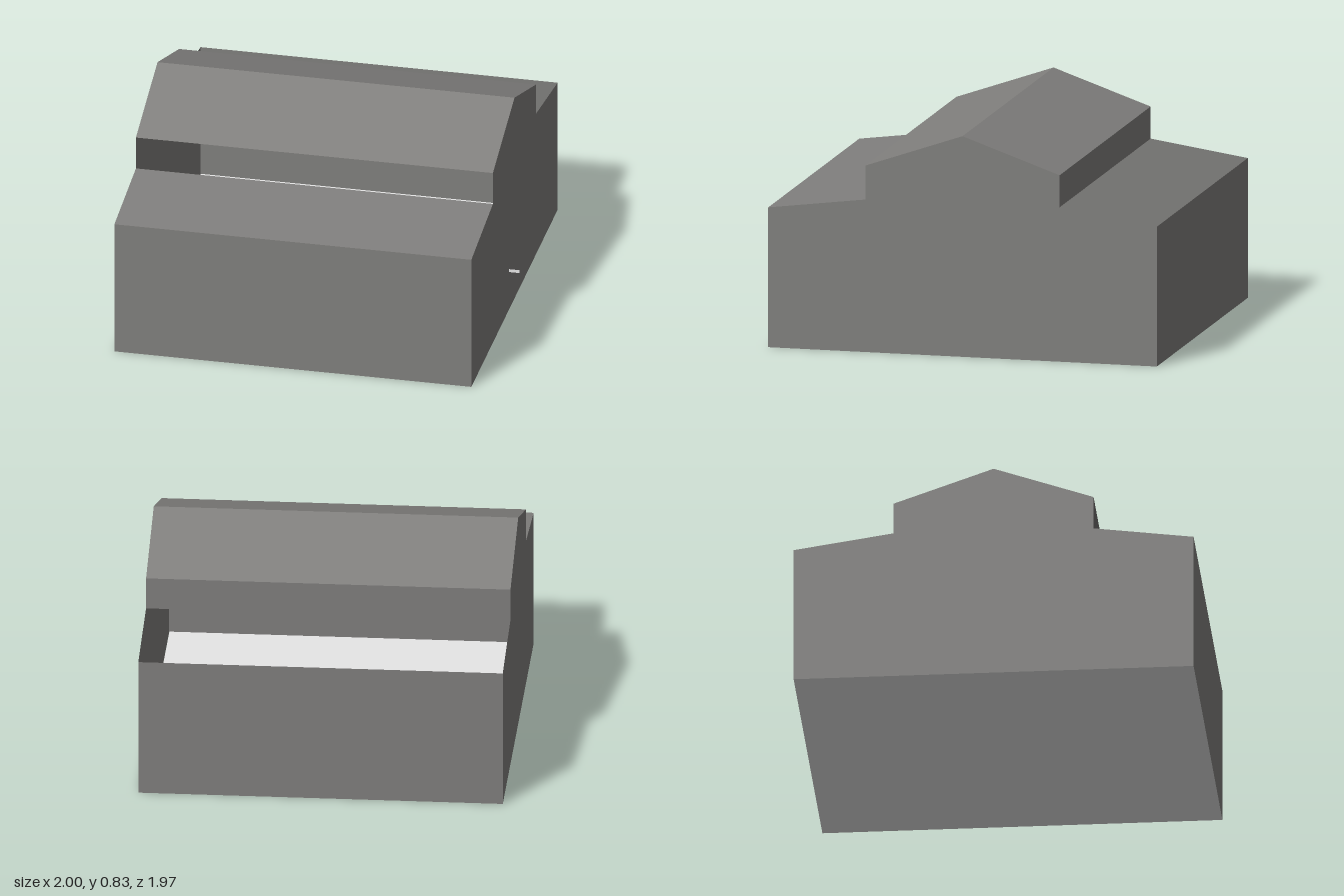
import * as THREE from 'three';

const HALF_LENGTH = 0.676;

// Cross-section, anticlockwise seen from the gable end: [x, y]
const PROFILE = [
  [0.742, 0], [0.742, 0.527], [0.371, 0.582], [0.371, 0.703], [0, 0.832],
  [-0.371, 0.703], [-0.371, 0.575], [-0.742, 0.527], [-0.742, 0],
];

// Long panels between neighbouring profile points; null leaves an opening
const PANELS = [
  'leftWall', null, 'leftUpperWall', 'leftUpperRoof', 'rightUpperRoof',
  null, 'rightLowerRoof', 'rightWall', 'underside',
];

// Flat panel running the full length of the building from profile point p to q
function panelGeometry([px, py], [qx, qy]) {
  const h = HALF_LENGTH;
  const geometry = new THREE.BufferGeometry();
  geometry.setAttribute('position', new THREE.Float32BufferAttribute(
    [px, py, h, px, py, -h, qx, qy, -h, qx, qy, h], 3));
  geometry.setIndex([0, 1, 2, 0, 2, 3]);
  geometry.computeVertexNormals();
  return geometry;
}

export function createModel() {
  const wallGrey = new THREE.MeshStandardMaterial({ color: 0x807f7d, side: THREE.DoubleSide });
  wallGrey.name = 'wallGrey';
  const floorGrey = new THREE.MeshStandardMaterial({ color: 0xefefef });
  floorGrey.name = 'floorGrey';

  const building = new THREE.Group();
  building.name = 'building';
  const add = (name, geometry, material) => {
    const mesh = new THREE.Mesh(geometry, material);
    mesh.name = name;
    building.add(mesh);
    return mesh;
  };

  // Side walls and roofs in wall grey, underside in the pale floor colour
  PANELS.forEach((name, i) => {
    if (!name) return;
    const geometry = panelGeometry(PROFILE[i], PROFILE[(i + 1) % PROFILE.length]);
    add(name, geometry, name === 'underside' ? floorGrey : wallGrey);
  });

  // Gable ends
  const gable = new THREE.Shape(PROFILE.map(([x, y]) => new THREE.Vector2(x, y)));
  add('frontGable', new THREE.ShapeGeometry(gable), wallGrey).position.z = HALF_LENGTH;
  const back = new THREE.ShapeGeometry(
    new THREE.Shape(PROFILE.map(([x, y]) => new THREE.Vector2(-x, y)).reverse()));
  back.rotateY(Math.PI);
  add('backGable', back, wallGrey).position.z = -HALF_LENGTH;

  // Pale floor inside, seen through the open lower roof
  const floor = new THREE.PlaneGeometry(1.482, HALF_LENGTH * 2 - 0.002);
  floor.rotateX(-Math.PI / 2);
  add('floor', floor, floorGrey).position.y = 0.002;

  // Tiny pale tab standing out from the front gable
  const tab = new THREE.PlaneGeometry(0.04, 0.012);
  tab.rotateY(-Math.PI / 2);
  add('wallTab', tab, floorGrey).position.set(-0.095, 0.162, HALF_LENGTH + 0.02);

  // The building stands turned on its plot
  building.rotation.y = 0.637;
  const model = new THREE.Group();
  model.name = 'model';
  model.add(building);
  return model;
}
